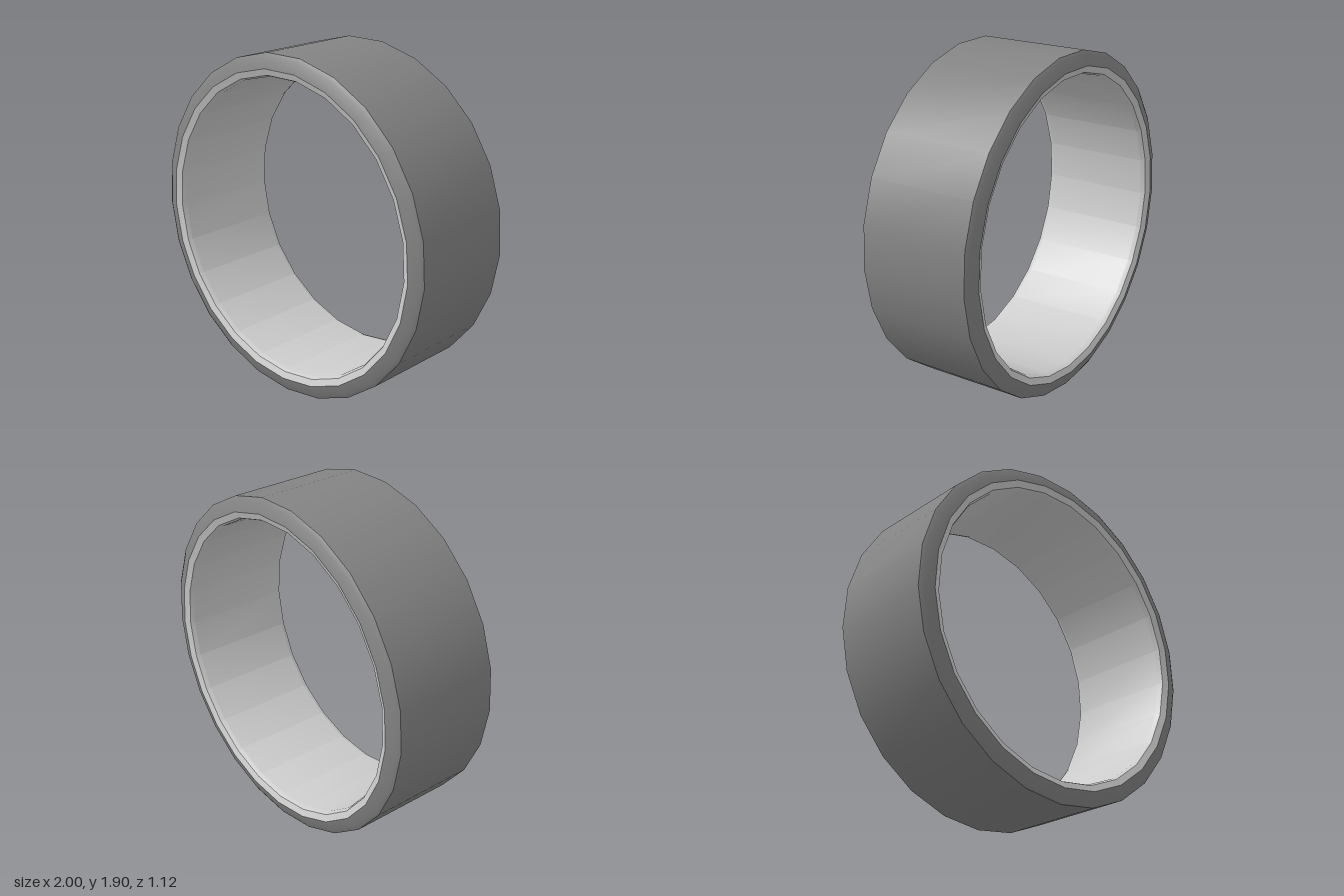
import * as THREE from 'three';
import { toCreasedNormals } from 'three/addons/utils/BufferGeometryUtils.js';

const SIDES = 25;

// Revolves half a profile [radius, axial] mirrored across the middle of the band
function band(name, half, color, inward) {
  const mirrored = half.map(([r, z]) => [r, -z]).reverse();
  const points = [...mirrored, ...half].map(([r, z]) => new THREE.Vector2(r, z));
  if (inward) points.reverse(); // faces look towards the axis
  const lathe = new THREE.LatheGeometry(points, SIDES);
  lathe.rotateX(Math.PI / 2); // axis along z, one corner at the bottom
  const geometry = toCreasedNormals(lathe, THREE.MathUtils.degToRad(24));
  const mesh = new THREE.Mesh(geometry, new THREE.MeshStandardMaterial({ color }));
  mesh.name = name;
  return mesh;
}

export function createModel() {
  const ring = new THREE.Group();
  ring.name = 'ring';

  // Dark outer band with slightly sloping rims
  ring.add(band('outerBand', [[0.954, 0.314], [0.932, 0.328], [0.874, 0.345]], 0x838383, false));

  // Lighter inner lining with a bevel at each opening
  ring.add(band('innerLining', [[0.828, 0.305], [0.838, 0.33], [0.874, 0.345]], 0xcccccc, true));

  // The ring stands upright, turned a little towards its right
  ring.rotation.y = THREE.MathUtils.degToRad(-15);
  ring.position.y = 0.954;

  const model = new THREE.Group();
  model.name = 'model';
  model.add(ring);
  return model;
}
